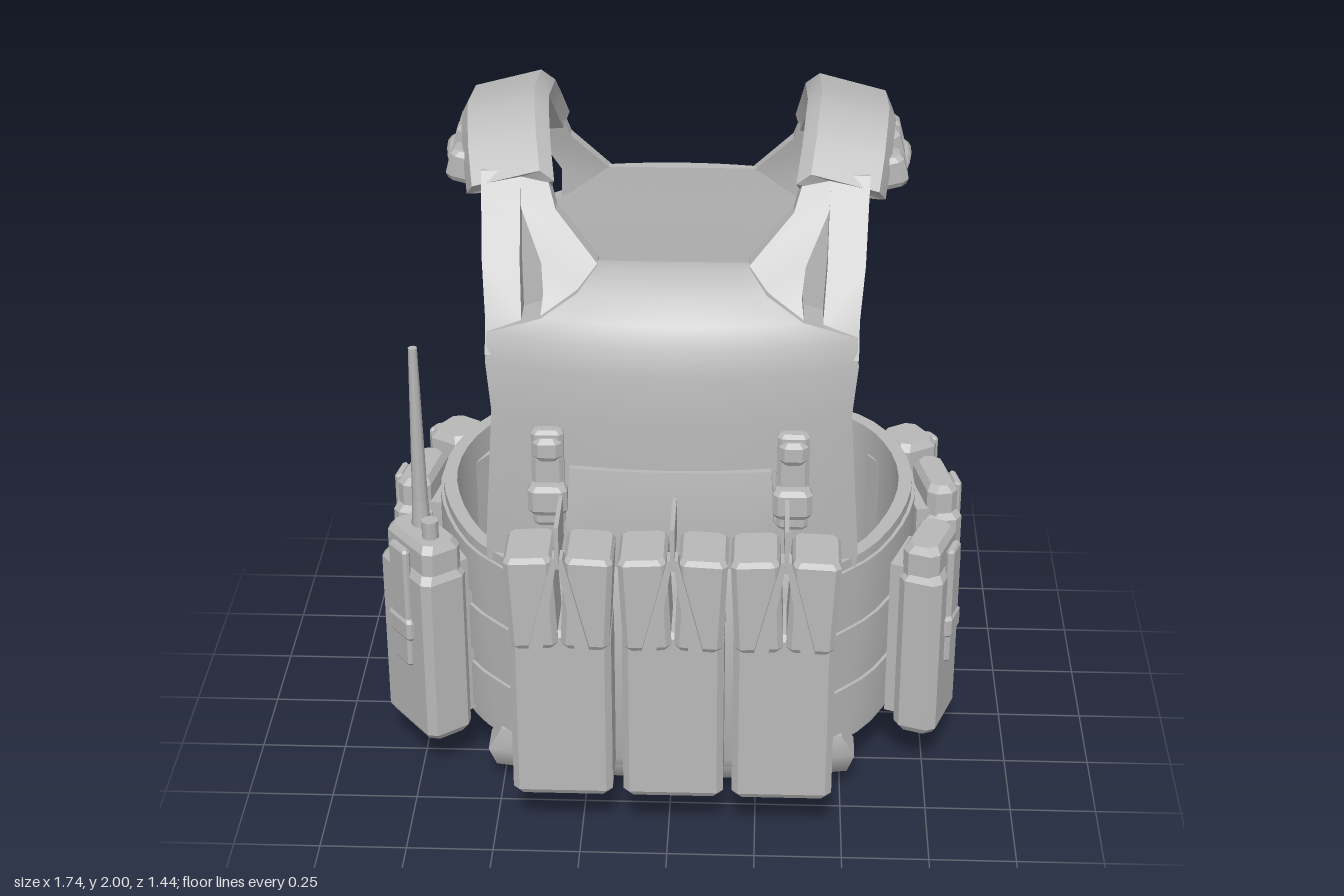
import * as THREE from 'three';
import { toCreasedNormals } from 'three/addons/utils/BufferGeometryUtils.js';

const fabric = new THREE.MeshStandardMaterial({ color: 0xb8b8b8 });
fabric.name = 'grey fabric';

// Closed solid through equal-sized rings of [x, y, z]; ring point j pairs with n-1-j at the caps
function loft(rings, crease = 0.6) {
  const n = rings[0].length, last = (rings.length - 1) * n, idx = [];
  const pos = rings.flat(2);
  for (let r = 0; r < rings.length - 1; r++)
    for (let j = 0; j < n; j++) {
      const a = r * n + j, b = r * n + (j + 1) % n;
      idx.push(a, b, b + n, a, b + n, a + n);
    }
  for (let j = 0; j < n / 2 - 1; j++) {
    const q = [j, j + 1, n - 2 - j, n - 1 - j];
    idx.push(q[0], q[2], q[1], q[0], q[3], q[2]);
    const t = q.map(i => i + last);
    idx.push(t[0], t[1], t[2], t[0], t[2], t[3]);
  }
  // Turn faces outward if the enclosed volume is negative
  const v = i => new THREE.Vector3().fromArray(pos, i * 3);
  let vol = 0;
  for (let i = 0; i < idx.length; i += 3) vol += v(idx[i]).dot(v(idx[i + 1]).cross(v(idx[i + 2])));
  if (vol < 0) idx.reverse();
  const g = new THREE.BufferGeometry();
  g.setAttribute('position', new THREE.Float32BufferAttribute(pos, 3));
  g.setIndex(idx);
  return toCreasedNormals(g, crease);
}

// Bowed panel; rows of [y, halfWidth, outerZ, innerZ], side +1 front / -1 back
// Bow is the fall in depth at x = 0.5, for the outer and inner face
function panel(rows, bow, innerBow, side) {
  const N = 8;
  return loft(rows.map(([y, w, zo, zi]) => {
    const out = [], inn = [];
    for (let i = 0; i <= N; i++) {
      const x = (i / N * 2 - 1) * w, k = 4 * x * x;
      out.push([x, y, side * (zo - bow * k)]);
      inn.unshift([x, y, side * (zi - innerBow * k)]);
    }
    return [...out, ...inn];
  }));
}

// Bar of rectangular sections [x0, x1, y, zFront, zBack]
const bar = rows => loft(rows.map(([a, b, y, f, k]) => [[a, y, f], [b, y, f], [b, y, k], [a, y, k]]), 0.4);

// Soft chamfered block centred on x and z, standing on y = 0
function block(w, h, d, c = 0.03) {
  const ring = (y, s) => {
    const x = w / 2 - s, z = d / 2 - s;
    return [[-x, y, -z + c], [-x, y, z - c], [-x + c, y, z], [x - c, y, z],
      [x, y, z - c], [x, y, -z + c], [x - c, y, -z], [-x + c, y, -z]];
  };
  return loft([ring(0, c * 0.6), ring(c, 0), ring(h - c, 0), ring(h, c * 0.6)], 0.5);
}

export function createModel() {
  const model = new THREE.Group();
  model.name = 'plateCarrier';
  const add = (name, geo, parent = model, x = 0, y = 0, z = 0) => {
    const m = new THREE.Mesh(geo, fabric);
    m.name = name;
    m.position.set(x, y, z);
    parent.add(m);
    return m;
  };

  // Front and back panels with rolled lower edges
  add('frontPanel', panel([[0.12, 0.47, 0.46, 0.33], [0.8, 0.53, 0.47, 0.31], [1.24, 0.5, 0.475, 0.3],
    [1.38, 0.515, 0.46, 0.285], [1.46, 0.51, 0.44, 0.27], [1.51, 0.36, 0.41, 0.255],
    [1.57, 0.26, 0.35, 0.235], [1.62, 0.21, 0.27, 0.22]], 0.08, 0.02, 1));
  add('backPanel', panel([[0.12, 0.48, 0.6, 0.45], [0.8, 0.52, 0.62, 0.42], [1.2, 0.5, 0.64, 0.435],
    [1.4, 0.51, 0.63, 0.45], [1.48, 0.5, 0.6, 0.455], [1.53, 0.34, 0.56, 0.46], [1.62, 0.22, 0.505, 0.465]], 0.1, 0.005, -1));
  add('frontLowerRoll', panel([[0.02, 0.46, 0.4, 0.36], [0.06, 0.52, 0.46, 0.35],
    [0.13, 0.54, 0.49, 0.36], [0.2, 0.5, 0.48, 0.38]], 0.05, 0.025, 1));
  add('backLowerRoll', panel([[0, 0.47, 0.57, 0.48], [0.04, 0.53, 0.62, 0.46],
    [0.14, 0.53, 0.63, 0.46], [0.24, 0.5, 0.61, 0.49]], 0.07, 0.03, -1));

  // Back bag and webbing bands
  add('backBag', panel([[0.13, 0.47, 0.69, 0.58], [0.17, 0.48, 0.71, 0.56], [0.45, 0.48, 0.725, 0.56],
    [0.8, 0.48, 0.725, 0.56], [0.9, 0.48, 0.69, 0.58], [0.93, 0.47, 0.65, 0.58]], 0.08, 0.04, -1));
  for (const y of [1.08, 1.23])
    add('backBand', panel([[y, 0.4, 0.665, 0.6], [y + 0.13, 0.41, 0.655, 0.59]], 0.075, 0.09, -1));

  // Chest placard and pocket
  add('placard', panel([[0.12, 0.45, 0.49, 0.4], [0.16, 0.46, 0.51, 0.4], [0.74, 0.45, 0.51, 0.4],
    [0.82, 0.43, 0.48, 0.4]], 0.04, 0.04, 1));
  add('chestPocket', panel([[0.8, 0.28, 0.5, 0.42], [0.94, 0.29, 0.51, 0.42], [1.1, 0.28, 0.485, 0.42]], 0.05, 0.05, 1));

  // Three front pouches with magazines, pull cords and tabs
  for (const x of [-0.3, 0.015, 0.325]) {
    const g = new THREE.Group();
    g.name = 'frontPouch';
    g.position.x = x;
    model.add(g);
    add('pouchBody', block(0.285, 0.55, 0.18, 0.018), g, 0, 0.15, 0.595);
    for (const s of [-1, 1]) {
      const mag = add('magazine', block(0.135, 0.29, 0.18, 0.015), g, s * 0.07, 0.65, 0.61);
      mag.rotation.z = -s * 0.05;
      add('pullCord', bar([[s * 0.045, s * 0.085, 0.66, 0.715, 0.68], [0, s * 0.015, 0.95, 0.71, 0.66]]), g);
    }
    add('pullTab', new THREE.BoxGeometry(0.012, 0.13, 0.18), g, 0, 0.985, 0.625);
  }

  for (const s of [-1, 1]) {
    const side = new THREE.Group();
    side.name = s > 0 ? 'leftSide' : 'rightSide';
    model.add(side);

    // Split shoulder straps with a triangular opening
    add('frontOuterStrap', bar([[s * 0.42, s * 0.515, 1.4, 0.375, 0.29], [s * 0.415, s * 0.515, 1.5, 0.335, 0.25],
      [s * 0.425, s * 0.53, 1.62, 0.235, 0.165], [s * 0.43, s * 0.54, 1.83, 0.09, 0.045]]), side);
    add('frontInnerStrap', bar([[s * 0.2, s * 0.365, 1.47, 0.38, 0.29], [s * 0.2, s * 0.355, 1.56, 0.31, 0.225],
      [s * 0.21, s * 0.365, 1.62, 0.24, 0.18], [s * 0.33, s * 0.425, 1.74, 0.145, 0.09],
      [s * 0.36, s * 0.45, 1.83, 0.09, 0.045]]), side);
    add('backOuterStrap', bar([[s * 0.42, s * 0.51, 1.42, -0.46, -0.54], [s * 0.42, s * 0.52, 1.6, -0.465, -0.515],
      [s * 0.43, s * 0.54, 1.82, -0.41, -0.455]]), side);
    add('backInnerStrap', bar([[s * 0.2, s * 0.365, 1.47, -0.465, -0.55], [s * 0.21, s * 0.36, 1.61, -0.465, -0.505],
      [s * 0.33, s * 0.43, 1.73, -0.435, -0.48], [s * 0.36, s * 0.45, 1.82, -0.41, -0.455]]), side);

    // Arched shoulder pad, sloping down outwards; [outerZ, outerY, innerZ, innerY, xShift]
    const arch = [[0.11, 1.84, 0.065, 1.77, -0.015], [0.03, 1.92, 0, 1.86, 0], [-0.06, 1.985, -0.08, 1.91, 0.01],
      [-0.13, 2, -0.14, 1.93, 0.015], [-0.3, 1.985, -0.27, 1.91, 0.01], [-0.39, 1.91, -0.35, 1.84, 0],
      [-0.475, 1.82, -0.42, 1.76, -0.015]];
    add('shoulderPad', loft(arch.map(([zo, yo, zi, yi, dx]) => [[0.35, yo - 0.03, zo], [0.39, yo, zo],
      [0.58, yo - 0.05, zo], [0.6, yo - 0.09, zi], [0.58, yi - 0.02, zi], [0.365, yi, zi]].map(([x, y, z]) => [s * (x + dx), y, z]))), side);
    for (const [z, h] of [[-0.03, 0.09], [-0.14, 0.12], [-0.27, 0.1]]) {
      const b = add('shoulderBuckle', block(0.09, h, 0.09, 0.015), side, s * 0.61, 1.76, z);
      b.rotation.z = s * 0.25;
    }
    add('shoulderCord', new THREE.TubeGeometry(new THREE.CatmullRomCurve3([[0.56, 1.8, 0.02], [0.63, 1.77, -0.08],
      [0.65, 1.8, -0.2], [0.6, 1.77, -0.36]].map(([x, y, z]) => new THREE.Vector3(s * x, y, z))), 12, 0.015, 5), side);

    // Curved waist belt with three raised bands
    const curve = new THREE.CatmullRomCurve3([[0.45, 0.42], [0.56, 0.3], [0.65, 0.1], [0.685, -0.1],
      [0.655, -0.3], [0.57, -0.46], [0.45, -0.55]].map(([x, z]) => new THREE.Vector3(x, 0, z)));
    const belt = (y0, y1, t0, t1) => loft(curve.getPoints(16).map((p, i) => {
      const d = curve.getTangent(i / 16), at = (y, t) => [s * (p.x - d.z * t), y, p.z + d.x * t];
      return [at(y0, t0), at(y0, t1), at(y1, t1), at(y1, t0)];
    }));
    add('waistBelt', belt(0.16, 0.78, -0.02, 0.02), side);
    for (const y of [0.2, 0.4, 0.6]) add('beltBand', belt(y, y + 0.15, 0.015, 0.03), side);

    // Chest buckles
    add('chestStrap', block(0.09, 0.3, 0.04, 0.012), side, s * 0.34, 0.92, 0.46);
    add('chestBuckle', block(0.11, 0.09, 0.06, 0.015), side, s * 0.34, 0.97, 0.485);
    add('chestClip', block(0.08, 0.07, 0.05, 0.015), side, s * 0.34, 1.13, 0.47);
  }

  // Side pouch turned to face outwards along the belt
  function sidePouch(name, x, z, deg, w, d, y0, y1) {
    const g = new THREE.Group();
    g.name = name;
    g.position.set(x, y0, z);
    g.rotation.y = THREE.MathUtils.degToRad(deg);
    model.add(g);
    const h = y1 - y0;
    add('body', block(w, h * 0.86, d, 0.022), g);
    add('flap', block(w * 0.9, h * 0.3, d * 0.85, 0.022), g, 0, h * 0.7, -0.005);
    add('closureStrap', block(w * 0.35, h * 0.6, 0.025, 0.008), g, 0, h * 0.36, d / 2 + 0.002);
    add('buckle', block(w * 0.45, 0.07, 0.03, 0.01), g, 0, h * 0.5, d / 2 + 0.005);
    add('backing', new THREE.BoxGeometry(w * 0.8, h * 0.8, 0.04), g, 0, h * 0.48, -d / 2 - 0.01);
    return g;
  }
  sidePouch('leftFrontPouch', 0.75, 0.22, 70, 0.22, 0.13, 0.14, 0.77);
  sidePouch('leftMiddlePouch', 0.785, -0.18, 102, 0.24, 0.11, 0.14, 0.76);
  sidePouch('leftRearPouch', 0.71, -0.4, 122, 0.17, 0.16, 0.13, 0.77);
  sidePouch('rightMiddlePouch', -0.785, -0.17, -100, 0.25, 0.12, 0.14, 0.76);
  sidePouch('rightRearPouch', -0.7, -0.4, -122, 0.17, 0.16, 0.13, 0.77);

  // Radio with antenna in the right front pouch
  const radio = sidePouch('radioPouch', -0.73, 0.27, -52, 0.26, 0.15, 0.13, 0.78);
  add('radioKnob', new THREE.CylinderGeometry(0.025, 0.025, 0.07, 8), radio, 0.05, 0.67, 0);
  add('antennaBase', new THREE.CylinderGeometry(0.024, 0.03, 0.12, 8), model, -0.735, 0.8, 0.235);
  add('antenna', new THREE.CylinderGeometry(0.013, 0.024, 0.52, 8), model, -0.735, 1.09, 0.235);
  return model;
}
